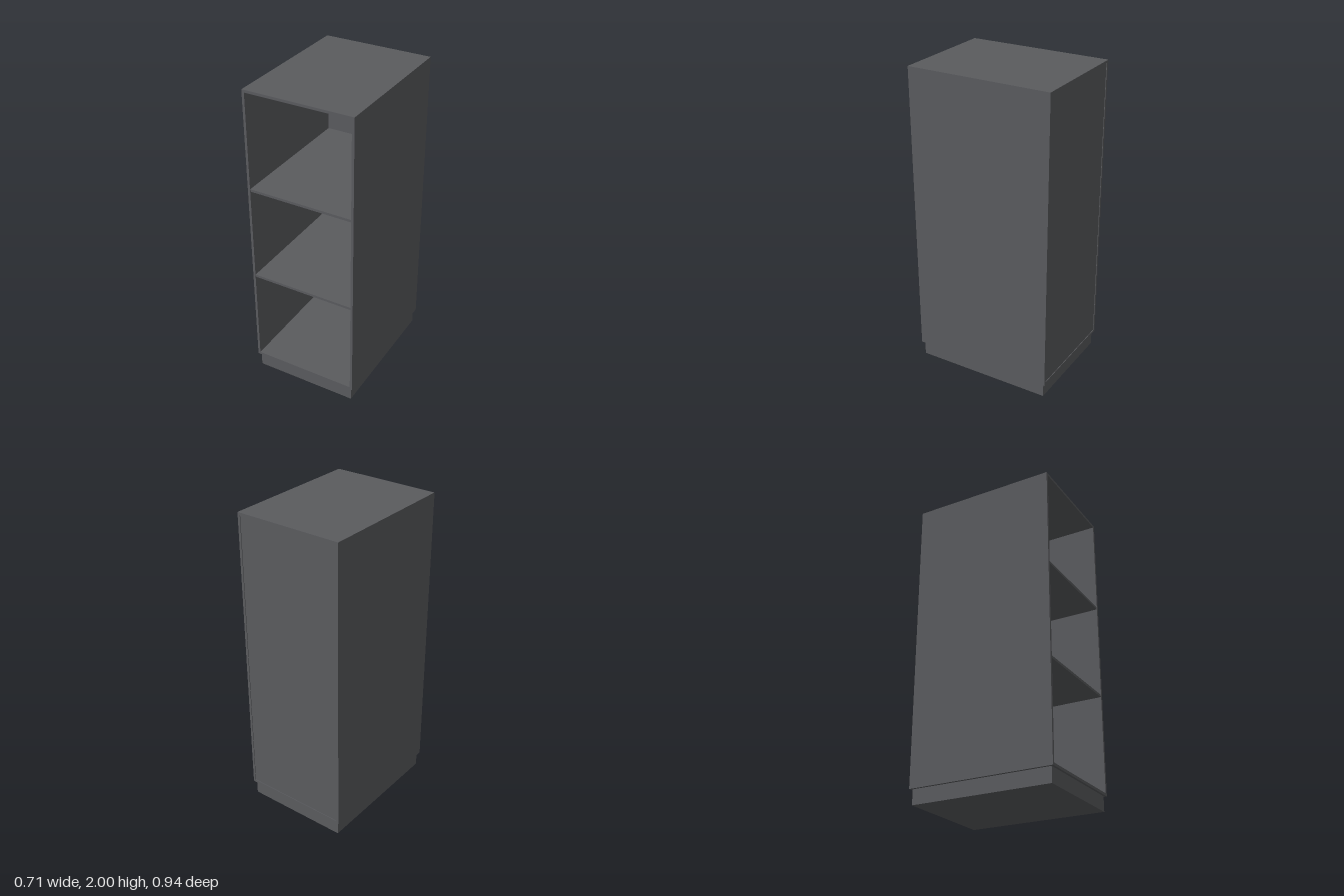
import * as THREE from 'three';

const W = 0.71, D = 0.936, H = 2, BASE = 0.095, T = 0.016;
const material = new THREE.MeshStandardMaterial({ color: 0x5a5b5e });

function panel(group, name, w, h, d, x, y, z) {
  const mesh = new THREE.Mesh(new THREE.BoxGeometry(w, h, d), material);
  mesh.name = name;
  mesh.position.set(x, y, z);
  group.add(mesh);
}

export function createModel() {
  const cabinet = new THREE.Group();
  cabinet.name = 'openCabinet';
  const innerW = W - 2 * T;

  // recessed plinth
  panel(cabinet, 'plinth', W - 0.03, BASE, D - 0.03, 0, BASE / 2, 0);

  // carcass: sides run full height, top and bottom sit between them
  for (const [name, s] of [['leftSide', 1], ['rightSide', -1]]) {
    panel(cabinet, name, T, H - BASE, D, s * (W - T) / 2, (H + BASE) / 2, 0);
  }
  panel(cabinet, 'topPanel', innerW, T, D, 0, H - T / 2, 0);
  panel(cabinet, 'bottomPanel', innerW, T, D, 0, BASE + T / 2, 0);

  // back panel, set slightly in from the rear edges
  const inset = 0.004;
  const backZ = -D / 2 + inset + T / 2;
  panel(cabinet, 'backPanel', innerW, H - BASE - 2 * T, T, 0, (H + BASE) / 2, backZ);

  // two shelves dividing the interior into three bays
  const front = D / 2 - 0.002, rear = backZ + T / 2;
  [0.738, 1.358].forEach((y, i) => {
    panel(cabinet, `shelf${i + 1}`, innerW, T, front - rear, 0, y, (front + rear) / 2);
  });

  return cabinet;
}
